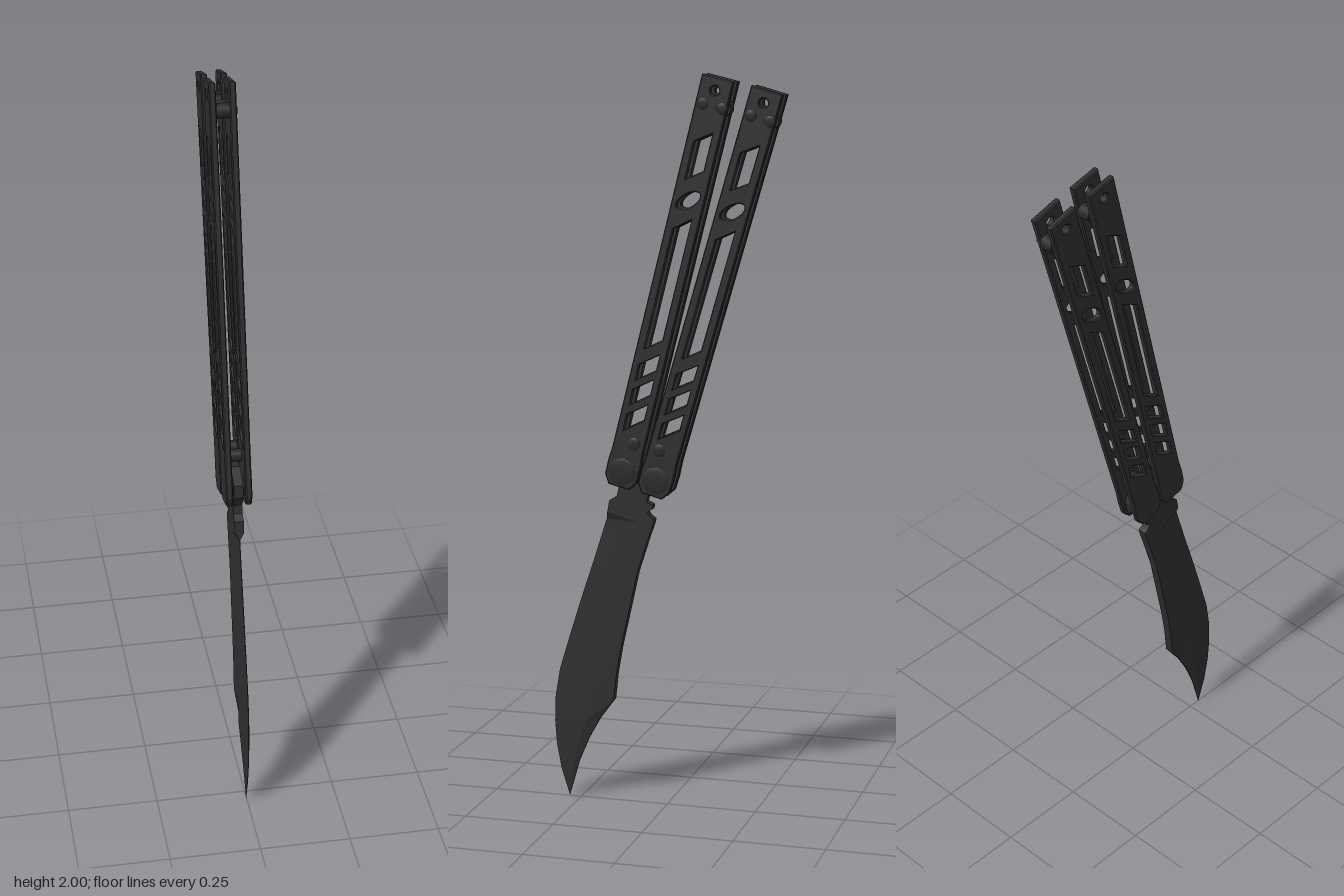
import * as THREE from 'three';
import { toCreasedNormals } from 'three/addons/utils/BufferGeometryUtils.js';

const steel = new THREE.MeshStandardMaterial({ color: 0x2e2e2e });
steel.name = 'dark steel';
const hardware = new THREE.MeshStandardMaterial({ color: 0x292929 });
hardware.name = 'blackened hardware';

const HALF = 0.0125; // half thickness of blade and tang
const polygon = (Type, pts) => new Type(pts.map(([x, y]) => new THREE.Vector2(x, y)));

function named(name, geometry, material, x = 0, y = 0, z = 0) {
  const m = new THREE.Mesh(geometry, material);
  m.name = name;
  m.position.set(x, y, z);
  return m;
}

// Cylinder lying along x
function rod(name, radius, length, x, y, z, topRadius = radius) {
  const g = new THREE.CylinderGeometry(topRadius, radius, length, 24).rotateZ(-Math.PI / 2);
  return named(name, g, hardware, x, y, z);
}

// Screw head with a shallow dome, facing +x
function screwHead(name, r, y, z) {
  const pts = [[r, 0], [r, 0.0012], [r * 0.75, 0.0028], [r * 0.4, 0.0036], [0, 0.0036]];
  const g = new THREE.LatheGeometry(pts.map(p => new THREE.Vector2(...p)), 24).rotateZ(-Math.PI / 2);
  return named(name, g, hardware, 0.0348, y, z);
}

// Slot with both ends slanted the same way
function slantSlot(w, v0, v1, slant) {
  return polygon(THREE.Path, [[w, v0 - slant], [w, v1 - slant], [-w, v1 + slant], [-w, v0 + slant]]);
}

// Side plate of a handle: shape x becomes z, shape y stays y
function plateGeometry() {
  const w = 0.044;
  const shape = polygon(THREE.Shape, [
    [-w, 1.085], [-w, 0.06], [-0.047, 0.02], [-0.046, -0.02], [-0.03, -0.044],
    [0.03, -0.044], [0.046, -0.02], [0.047, 0.02], [w, 0.06], [w, 1.085]]);
  const lanyard = new THREE.Path();
  lanyard.absarc(0, 1.05, 0.012, 0, Math.PI * 2);
  const oval = new THREE.Path();
  oval.absellipse(0, 0.755, 0.036, 0.017, 0, Math.PI * 2, false, Math.PI - 0.75);
  shape.holes.push(lanyard, oval,
    slantSlot(0.021, 0.825, 0.925, 0.016),
    slantSlot(0.021, 0.36, 0.69, 0.018));
  for (const v of [0.154, 0.225, 0.295]) {
    shape.holes.push(slantSlot(0.024, v - 0.021, v + 0.021, 0.02));
  }
  const b = 0.003;
  return new THREE.ExtrudeGeometry(shape, {
    depth: 0.018 - 2 * b, bevelThickness: b, bevelSize: b, bevelOffset: -b,
    bevelSegments: 1, curveSegments: 10,
  }).translate(0, 0, b - 0.009).rotateY(-Math.PI / 2);
}

// Handle with its origin at the pivot; pinSide is the z side of the stop pin
function handle(name, plate, y, z, tilt, pinSide) {
  const g = new THREE.Group();
  g.name = name;
  g.position.set(0, y, z);
  g.rotation.x = -tilt;
  for (const s of [-1, 1]) g.add(named('handlePlate', plate, steel, s * 0.026, 0, 0));
  // End spacers and their screws
  for (const u of [-0.03, 0.023]) {
    g.add(rod('endSpacer', 0.02, 0.036, 0, 1.01, u));
    g.add(screwHead('spacerScrew', 0.015, 1.01, u));
  }
  // Stop pin and pivot
  g.add(rod('stopPin', 0.017, 0.036, 0, 0.083, pinSide * 0.013));
  g.add(screwHead('pinScrew', 0.017, 0.083, pinSide * 0.013));
  g.add(rod('pivotBarrel', 0.026, 0.036, 0, 0, 0));
  g.add(screwHead('pivotScrew', 0.037, 0, 0));
  return g;
}

// Blade lofted from sections: edge z, edge y, spine z, spine y
function bladeGeometry() {
  const stations = [
    [0.161, 0.849, 0.034, 0.802], [0.167, 0.817, 0.040, 0.780], [0.172, 0.796, 0.048, 0.759],
    [0.209, 0.680, 0.082, 0.653], [0.246, 0.569, 0.103, 0.558], [0.283, 0.452, 0.130, 0.437],
    [0.310, 0.362, 0.143, 0.362], [0.323, 0.283, 0.151, 0.288], [0.325, 0.214, 0.193, 0.230],
    [0.320, 0.146, 0.225, 0.172], [0.307, 0.077, 0.254, 0.103], [0.283, 0, 0.283, 0]];
  const pos = [], index = [], N = 6;
  stations.forEach(([ez, ey, sz, sy], i) => {
    const width = Math.hypot(ez - sz, ey - sy);
    const f = width > 0 ? Math.min(0.1 / width, 0.72) : 0;
    const bz = ez + (sz - ez) * f, by = ey + (sy - ey) * f;
    const ridge = i < 2 ? HALF : Math.min(HALF, 0.13 * f * width);
    const edge = i < 2 ? HALF : Math.min(0.0008, ridge);
    const spine = i > 7 ? ridge * 0.4 : HALF;
    pos.push(edge, ey, ez, ridge, by, bz, spine, sy, sz,
      -spine, sy, sz, -ridge, by, bz, -edge, ey, ez);
    if (i === 0) return;
    for (let k = 0; k < N; k++) {
      const a = (i - 1) * N + k, b = (i - 1) * N + (k + 1) % N;
      index.push(a, a + N, b, b, a + N, b + N);
    }
  });
  const g = new THREE.BufferGeometry();
  g.setAttribute('position', new THREE.Float32BufferAttribute(pos, 3));
  g.setIndex(index);
  return toCreasedNormals(g, 0.12);
}

// Tang with notches in front of the blade shoulder
function tangGeometry() {
  const shape = polygon(THREE.Shape, [
    [0.161, 0.849], [0.140, 0.862], [0.134, 0.885], [0.155, 0.92], [0.15, 0.955],
    [0.10, 0.985], [0.045, 0.975], [-0.01, 0.955], [-0.02, 0.93], [-0.012, 0.895],
    [0.03, 0.872], [0.052, 0.866], [0.056, 0.850], [0.038, 0.842], [0.04, 0.830],
    [0.054, 0.822], [0.046, 0.810], [0.034, 0.802]]);
  return new THREE.ExtrudeGeometry(shape, { depth: 2 * HALF, bevelEnabled: false })
    .translate(0, 0, -HALF).rotateY(-Math.PI / 2);
}

export function createModel() {
  const model = new THREE.Group();
  model.name = 'foldingKnife';
  const body = new THREE.Group();
  body.name = 'knifeBody';
  body.position.x = -0.0018;
  const plate = plateGeometry();
  body.add(
    named('blade', bladeGeometry(), steel),
    named('tang', tangGeometry(), steel),
    handle('frontHandle', plate, 0.934, 0.117, 0.2443, -1),
    handle('backHandle', plate, 0.913, 0.024, 0.281, 1));
  model.add(body);
  return model;
}
